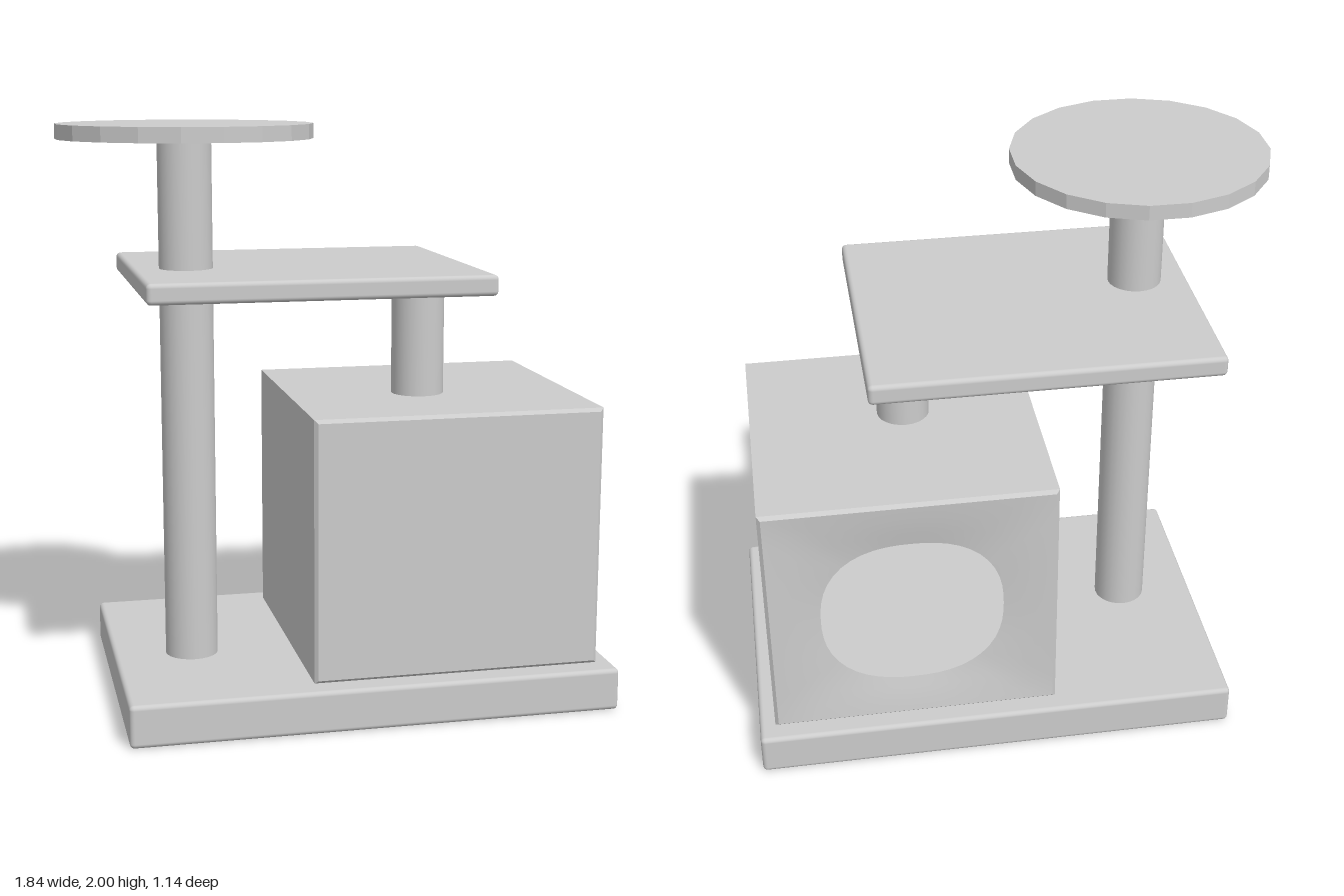
import * as THREE from 'three';
import { toCreasedNormals } from 'three/addons/utils/BufferGeometryUtils.js';
import { RoundedBoxGeometry } from 'three/addons/geometries/RoundedBoxGeometry.js';

const plush = new THREE.MeshStandardMaterial({ color: 0xcccccc, side: THREE.DoubleSide });
plush.name = 'grey plush';

// Hollow cubby, skinned with loops from the back opening round to the front wall
function cubbyGeometry() {
  const N = 48, hx = 0.5, hy = 0.4525, e = 0.012;
  const backZ = -0.505, frontZ = 0.49, dip = 0.025;
  const square = (a) => {
    const m = Math.max(Math.abs(Math.cos(a)), Math.abs(Math.sin(a)));
    return [Math.cos(a) / m, Math.sin(a) / m];
  };
  // rounded-square opening
  const hole = (a) => {
    const c = Math.cos(a), s = Math.sin(a);
    const r = Math.pow(Math.abs(c) ** 2.4 + Math.abs(s) ** 2.4, -1 / 2.4);
    return [0.315 * r * c, 0.29 * r * s - 0.015];
  };
  const rect = (inset, z, k = 1) => (a) => {
    const [x, y] = square(a);
    return [x * (hx - inset) * k, y * (hy - inset) * k, z];
  };
  // back wall dishes gently inward towards the opening
  const funnel = (t) => (a) => {
    const [x0, y0] = hole(a), [x1, y1] = rect(e, 0)(a);
    return [x0 + (x1 - x0) * t, y0 + (y1 - y0) * t, backZ + dip * (1 - t) ** 1.3];
  };
  const loops = [
    funnel(0), funnel(0.33), funnel(0.67), funnel(1),
    rect(0, backZ + e), rect(0, frontZ - e),
    rect(e, frontZ), rect(e, frontZ, 0),
  ];
  const pos = [], index = [];
  loops.forEach((f, i) => {
    for (let j = 0; j < N; j++) {
      pos.push(...f((j / N) * Math.PI * 2));
      if (i === loops.length - 1) continue;
      const a = i * N + j, b = i * N + (j + 1) % N;
      index.push(a, b, a + N);
      if (i < loops.length - 2) index.push(b, b + N, a + N);
    }
  });
  const g = new THREE.BufferGeometry();
  g.setAttribute('position', new THREE.Float32BufferAttribute(pos, 3));
  g.setIndex(index);
  return toCreasedNormals(g, 0.6);
}

export function createModel() {
  const group = new THREE.Group();
  group.name = 'catTree';

  const add = (name, geometry, x, y, z) => {
    const mesh = new THREE.Mesh(geometry, plush);
    mesh.name = name;
    mesh.position.set(x, y, z);
    group.add(mesh);
    return mesh;
  };
  // soft-edged board given by its extents
  const board = (name, x0, x1, y0, y1, z0, z1) => add(name,
    new RoundedBoxGeometry(x1 - x0, y1 - y0, z1 - z0, 3, 0.016),
    (x0 + x1) / 2, (y0 + y1) / 2, (z0 + z1) / 2);
  const post = (name, x, y0, y1) => add(name,
    new THREE.CylinderGeometry(0.092, 0.092, y1 - y0, 24), x, (y0 + y1) / 2, 0.065);

  board('base', -0.77, 0.915, 0.005, 0.152, -0.57, 0.567);
  board('platform', -0.68, 0.48, 1.445, 1.515, -0.505, 0.49);
  post('tallPost', -0.497, 0.14, 1.96);
  post('shortPost', 0.32, 1.05, 1.455);
  add('cubby', cubbyGeometry(), 0.36, 0.6025, 0);

  // twenty-sided perch with a flat edge facing each axis
  const perch = toCreasedNormals(
    new THREE.CylinderGeometry(0.432, 0.432, 0.05, 20, 1, false, Math.PI / 20), 0.2);
  add('perch', perch, -0.495, 1.975, 0.065);

  return group;
}
